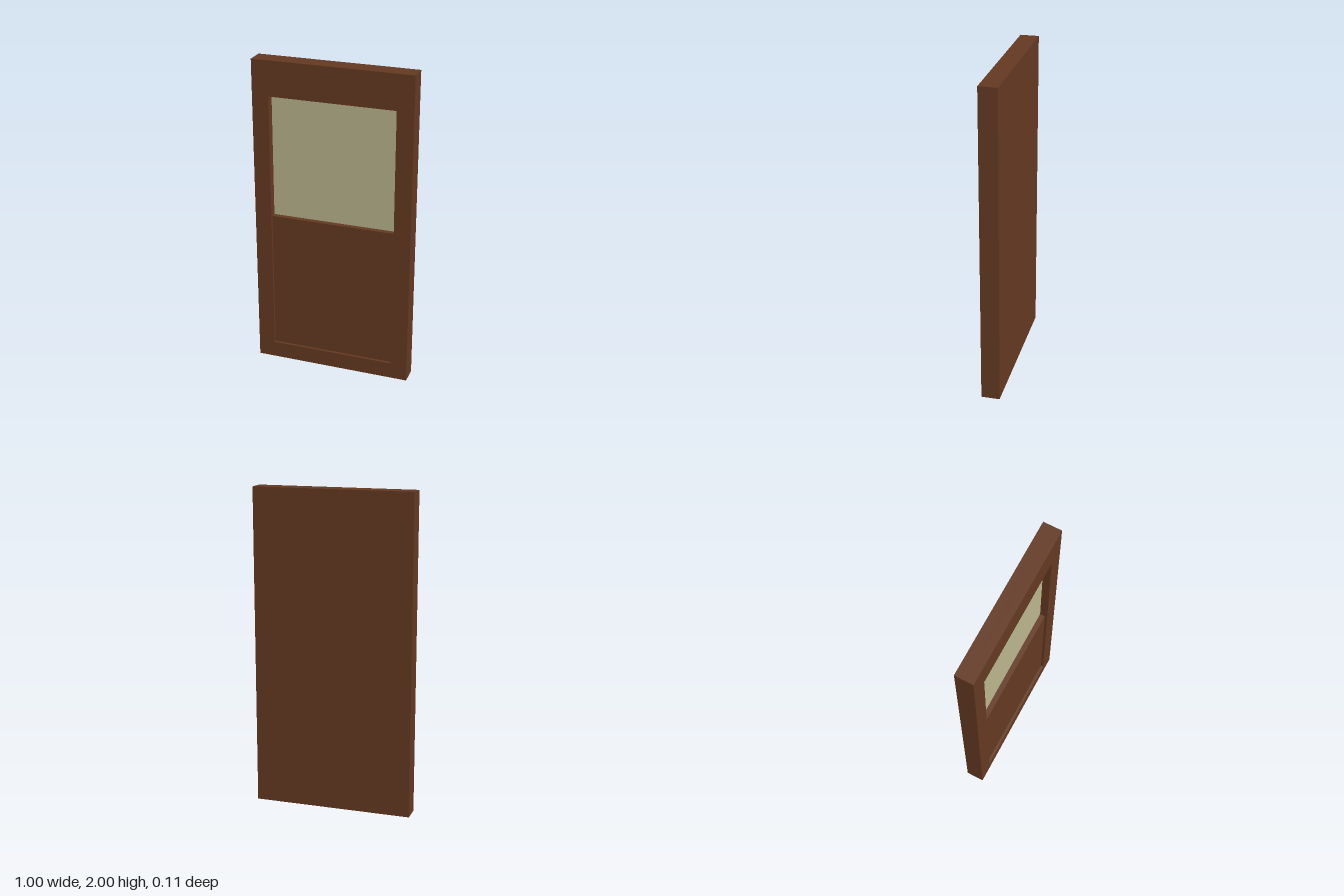
import * as THREE from 'three';

// Door dimensions
const W = 1, H = 2, D = 0.115;
const OPEN = { x: 0.395, bottom: 0.105, split: 1.0, top: 1.78 };
const BACK = -D / 2, FRONT = D / 2;
const GLASS_Z = 0.008, PANEL_Z = 0.041;

export function createModel() {
  const wood = new THREE.MeshStandardMaterial({ color: 0x643922 });
  wood.name = 'brown wood';
  const pane = new THREE.MeshStandardMaterial({ color: 0xbab48c });
  pane.name = 'pale glass';

  const door = new THREE.Group();
  door.name = 'door';

  // Box given by its x width, y range and z range
  const slab = (name, width, y0, y1, z0, z1, material) => {
    const mesh = new THREE.Mesh(new THREE.BoxGeometry(width, y1 - y0, z1 - z0), material);
    mesh.position.set(0, (y0 + y1) / 2, (z0 + z1) / 2);
    mesh.name = name;
    door.add(mesh);
  };

  // Frame: stiles and rails around one tall opening
  const rectangle = (target, x, y0, y1) =>
    target.moveTo(-x, y0).lineTo(x, y0).lineTo(x, y1).lineTo(-x, y1).closePath();
  const outline = rectangle(new THREE.Shape(), W / 2, 0, H);
  outline.holes.push(rectangle(new THREE.Path(), OPEN.x, OPEN.bottom, OPEN.top));
  const frameBack = GLASS_Z - 0.005;
  const frame = new THREE.Mesh(
    new THREE.ExtrudeGeometry(outline, { depth: FRONT - frameBack, bevelEnabled: false }), wood);
  frame.position.z = frameBack;
  frame.name = 'frame';
  door.add(frame);

  // Solid back of the door
  slab('backing', W, 0, H, BACK, frameBack, wood);

  // Shallow lower panel and deeply set upper window
  slab('lowerPanel', OPEN.x * 2, OPEN.bottom, OPEN.split, frameBack, PANEL_Z, wood);
  slab('windowPane', OPEN.x * 2, OPEN.split, OPEN.top, frameBack, GLASS_Z, pane);

  return door;
}
